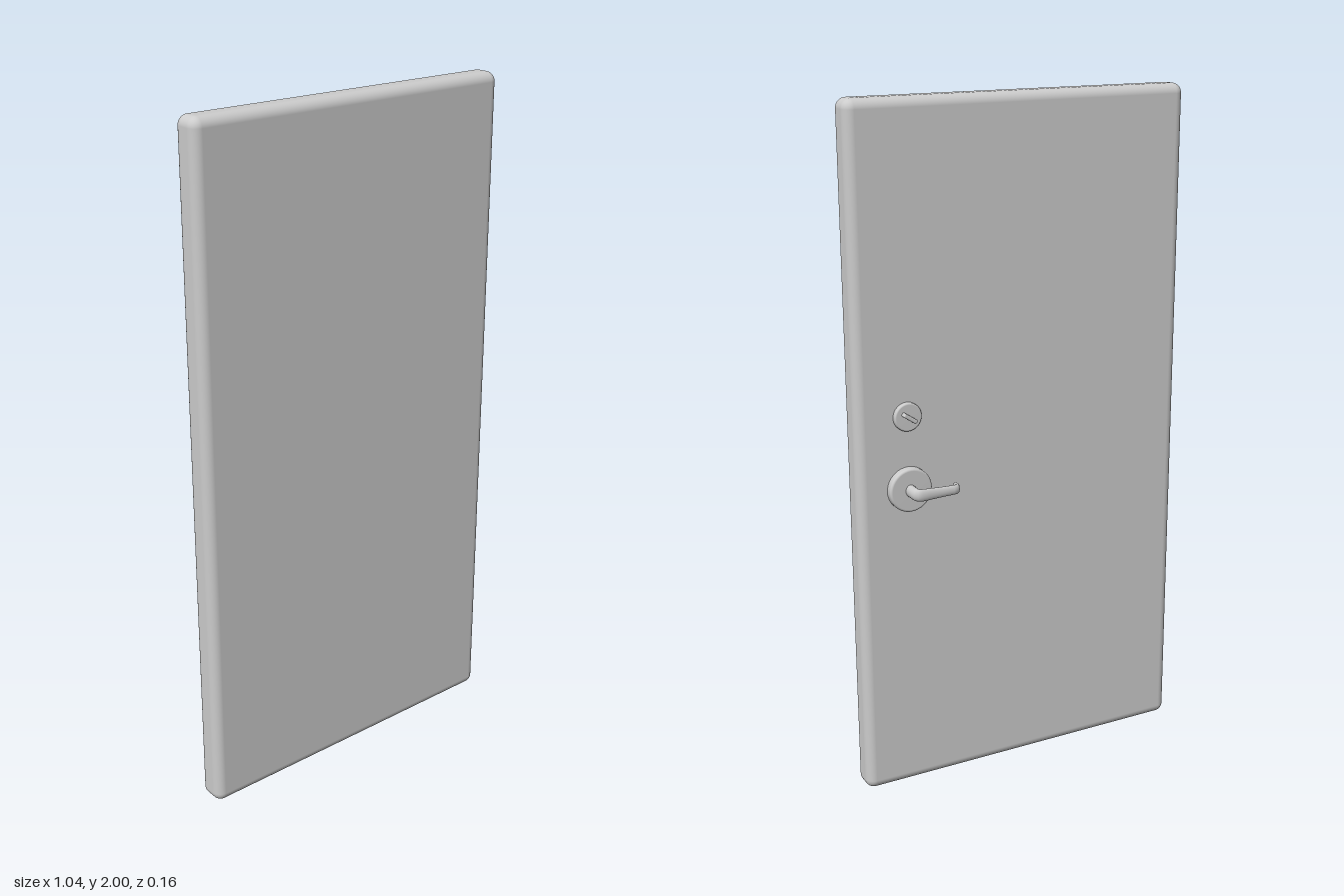
import * as THREE from 'three';
import { RoundedBoxGeometry } from 'three/addons/geometries/RoundedBoxGeometry.js';

const BACK = -0.005; // z of the door's rear face
const material = new THREE.MeshStandardMaterial({ color: 0xcccccc, roughness: 0.6 });

function part(name, geometry, x = 0, y = 0, z = 0) {
  const mesh = new THREE.Mesh(geometry, material);
  mesh.name = name;
  mesh.position.set(x, y, z);
  return mesh;
}

// Round plate with a softened rim, standing out towards -z
function plate(radius, depth, bevel) {
  const profile = [new THREE.Vector2(radius, -0.002)];
  for (let i = 0; i <= 5; i++) {
    const a = (i / 5) * Math.PI / 2;
    profile.push(new THREE.Vector2(
      radius - bevel + bevel * Math.cos(a),
      depth - bevel + bevel * Math.sin(a)));
  }
  profile.push(new THREE.Vector2(0, depth));
  return new THREE.LatheGeometry(profile, 40).rotateX(-Math.PI / 2);
}

// Oval cross-sections swept along a path in the xz plane.
// Each section: [x, z, half thickness, half height]
function sweep(sections, sides = 20) {
  const positions = [], index = [];
  sections.forEach(([x, z, a, b], i) => {
    const p = sections[Math.max(i - 1, 0)];
    const n = sections[Math.min(i + 1, sections.length - 1)];
    const t = new THREE.Vector2(n[0] - p[0], n[1] - p[1]).normalize();
    for (let j = 0; j < sides; j++) {
      const angle = (j / sides) * Math.PI * 2;
      const c = Math.cos(angle) * a;
      positions.push(x + t.y * c, Math.sin(angle) * b, z - t.x * c);
      if (i === 0) continue;
      const k = (j + 1) % sides, r0 = (i - 1) * sides, r1 = i * sides;
      index.push(r0 + j, r0 + k, r1 + k, r0 + j, r1 + k, r1 + j);
    }
  });
  const geometry = new THREE.BufferGeometry();
  geometry.setAttribute('position', new THREE.Float32BufferAttribute(positions, 3));
  geometry.setIndex(index);
  geometry.computeVertexNormals();
  return geometry;
}

export function createModel() {
  const model = new THREE.Group();
  model.name = 'door';

  // Slab with rounded edges
  model.add(part('doorSlab', new RoundedBoxGeometry(1.04, 2, 0.085, 6, 0.028), 0, 1, 0.0375));

  // Lever handle on the rear face
  const handle = new THREE.Group();
  handle.name = 'leverHandle';
  handle.position.set(0.369, 0.926, 0);
  handle.add(part('handleRose', plate(0.064, 0.023, 0.007), 0, 0, BACK));
  handle.add(part('handleLever', sweep([
    [0.003, -0.020, 0.015, 0.018],
    [0.003, -0.060, 0.014, 0.018],
    [0.002, -0.067, 0.012, 0.018],
    [-0.002, -0.073, 0.010, 0.018],
    [-0.010, -0.0765, 0.008, 0.018],
    [-0.030, -0.077, 0.0075, 0.017],
    [-0.070, -0.077, 0.0075, 0.015],
    [-0.106, -0.077, 0.0075, 0.014],
    [-0.115, -0.0765, 0.0072, 0.014],
    [-0.120, -0.073, 0.0065, 0.014],
    [-0.1225, -0.068, 0.006, 0.014],
    [-0.123, -0.052, 0.005, 0.013],
    [-0.123, -0.048, 0.004, 0.011],
    [-0.123, -0.047, 0, 0],
  ])));
  model.add(handle);

  // Deadbolt with a slanted thumb turn
  const lock = new THREE.Group();
  lock.name = 'deadbolt';
  lock.position.set(0.369, 1.137, BACK);
  lock.add(part('lockRose', plate(0.041, 0.014, 0.005)));
  const turn = part('thumbTurn', new RoundedBoxGeometry(0.046, 0.012, 0.024, 4, 0.004), 0, 0, -0.019);
  turn.rotation.z = 0.6;
  lock.add(turn);
  model.add(lock);

  return model;
}
